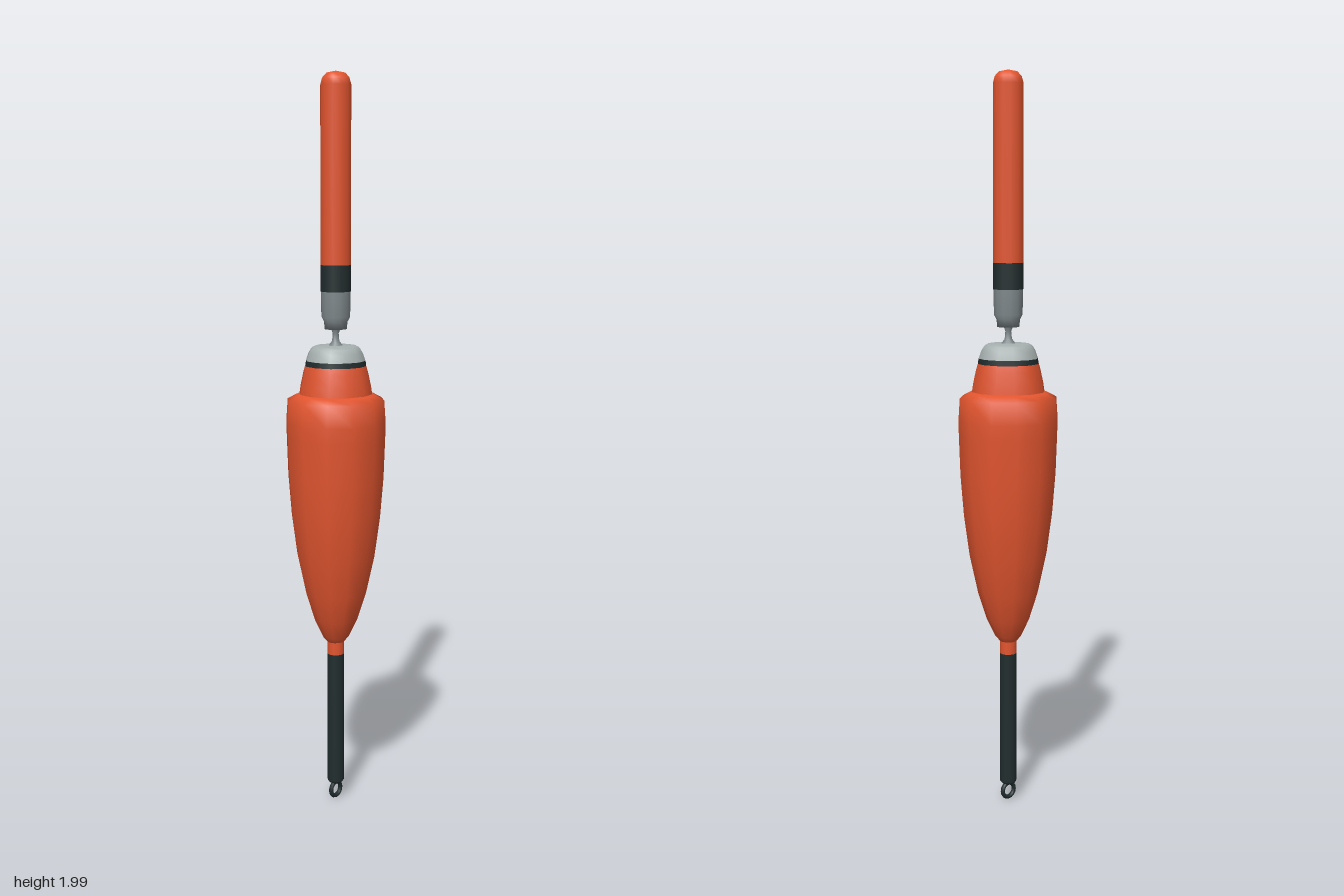
import * as THREE from 'three';

const SIDES = 12;

const paint = (name, color) => {
  const m = new THREE.MeshStandardMaterial({ color });
  m.name = name;
  return m;
};

export function createModel() {
  const group = new THREE.Group();
  group.name = 'fishingFloat';
  const red = paint('orangeRed', 0xe2552f);
  const black = paint('black', 0x222d2e);
  const grey = paint('lightGrey', 0xa7b1b0);
  const steel = paint('steelGrey', 0x80898c);

  // Turned part from [radius, height] points, listed bottom to top
  const turn = (name, material, points) => {
    const profile = points.map(([r, y]) => new THREE.Vector2(r, y));
    const mesh = new THREE.Mesh(new THREE.LatheGeometry(profile, SIDES), material);
    mesh.name = name;
    group.add(mesh);
  };

  // Line eye at the bottom
  const eye = new THREE.Mesh(new THREE.TorusGeometry(0.02, 0.006, 8, 16), black);
  eye.name = 'lineEye';
  eye.position.y = 0.033;
  group.add(eye);

  // Lower stem
  turn('lowerStem', black, [[0, 0.055], [0.018, 0.055], [0.023, 0.062], [0.023, 0.43]]);
  turn('stemCollar', red, [[0.023, 0.43], [0.023, 0.468]]);

  // Tapered body, shoulder and neck
  turn('body', red, [
    [0.023, 0.465], [0.036, 0.48], [0.06, 0.53], [0.084, 0.605], [0.107, 0.71],
    [0.122, 0.82], [0.131, 0.93], [0.135, 1.04], [0.136, 1.08], [0.132, 1.14],
    [0.108, 1.153], [0.098, 1.157],
  ]);
  turn('neck', red, [[0.1, 1.15], [0.096, 1.178], [0.088, 1.215], [0.083, 1.232]]);
  turn('neckBand', black, [[0.083, 1.23], [0.081, 1.246]]);

  // Rounded cap and thin connector
  turn('cap', grey, [[0.081, 1.245], [0.074, 1.266], [0.066, 1.279], [0.056, 1.285], [0, 1.287]]);
  turn('connector', steel, [[0.02, 1.285], [0.01, 1.298], [0.008, 1.318], [0.013, 1.332]]);

  // Antenna holder, band and rounded tip
  turn('antennaHolder', steel, [
    [0, 1.328], [0.03, 1.33], [0.032, 1.35], [0.039, 1.363], [0.04, 1.43],
  ]);
  turn('antennaBand', black, [[0.041, 1.43], [0.041, 1.5]]);
  turn('antenna', red, [
    [0.041, 1.5], [0.041, 1.965], [0.036, 1.983], [0.025, 1.995], [0, 2],
  ]);

  return group;
}
